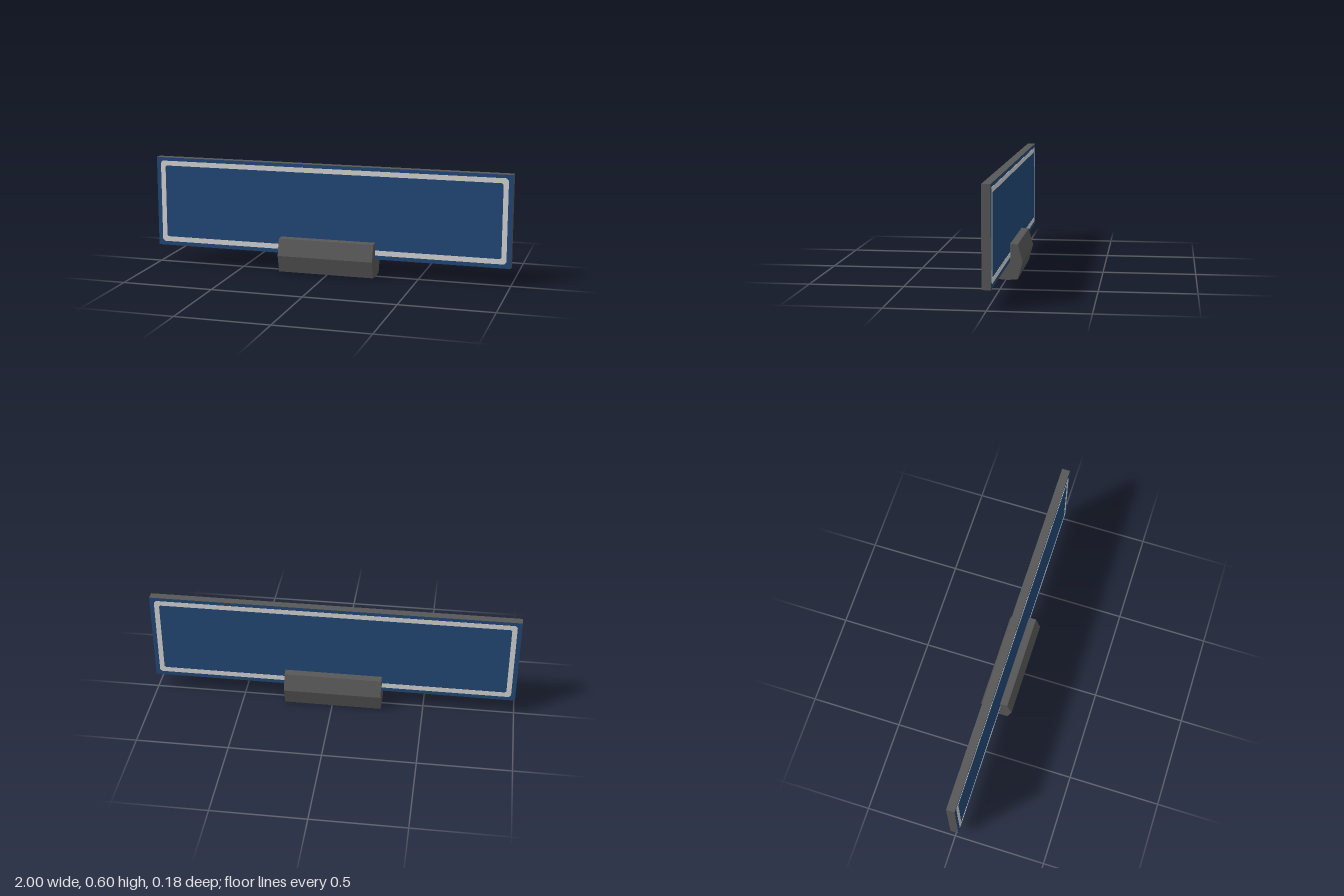
import * as THREE from 'three';

const material = (name, color) => {
  const m = new THREE.MeshStandardMaterial({ color });
  m.name = name;
  return m;
};

// Rectangle with small cut corners, traced on a Shape or Path
function cutRect(path, x0, x1, y0, y1, c) {
  const points = [
    [x0 + c, y0], [x1 - c, y0], [x1, y0 + c], [x1, y1 - c],
    [x1 - c, y1], [x0 + c, y1], [x0, y1 - c], [x0, y0 + c],
  ];
  path.setFromPoints(points.map(([x, y]) => new THREE.Vector2(x, y)));
  path.closePath();
  return path;
}

export function createModel() {
  const model = new THREE.Group();
  model.name = 'signPlate';
  const grey = material('dark grey metal', 0x575757);
  const blue = material('sign blue', 0x224876);
  const white = material('border white', 0xd2d2d2);

  const add = (name, geometry, mat) => {
    const mesh = new THREE.Mesh(geometry, mat);
    mesh.name = name;
    model.add(mesh);
    return mesh;
  };

  // Flat panel: grey rim, blue front and back
  const height = 0.503, depth = 0.045;
  const panel = add('panel', new THREE.BoxGeometry(2, height, depth),
    [grey, grey, grey, grey, blue, blue]);
  panel.position.y = 0.1 + height / 2;

  // Thin border frame on both faces
  const frame = cutRect(new THREE.Shape(), -0.976, 0.976, 0.122, 0.584, 0.012);
  frame.holes.push(cutRect(new THREE.Path(), -0.949, 0.949, 0.15, 0.557, 0.008));
  const frameGeometry = new THREE.ExtrudeGeometry(frame, { depth: 0.001, bevelEnabled: false });
  for (const [name, turn] of [['frontBorder', 0], ['backBorder', Math.PI]]) {
    const border = add(name, frameGeometry, white);
    border.rotation.y = turn;
    border.position.z = Math.cos(turn) * depth / 2;
  }

  // Faceted mounting clamp, extruded along x
  const half = [[0, 0], [0.025, 0], [0.026, 0.003], [0.063, 0.004], [0.089, 0.098], [0.063, 0.19], [0.022, 0.193]];
  const profile = [...half, ...half.slice(1).reverse().map(([z, y]) => [-z, y])];
  const clampShape = new THREE.Shape(profile.map(([z, y]) => new THREE.Vector2(z, y)));
  const clampGeometry = new THREE.ExtrudeGeometry(clampShape, { depth: 0.534, bevelEnabled: false });
  clampGeometry.rotateY(Math.PI / 2);
  clampGeometry.translate(-0.27, 0, 0);
  add('mountingClamp', clampGeometry, grey);

  return model;
}
